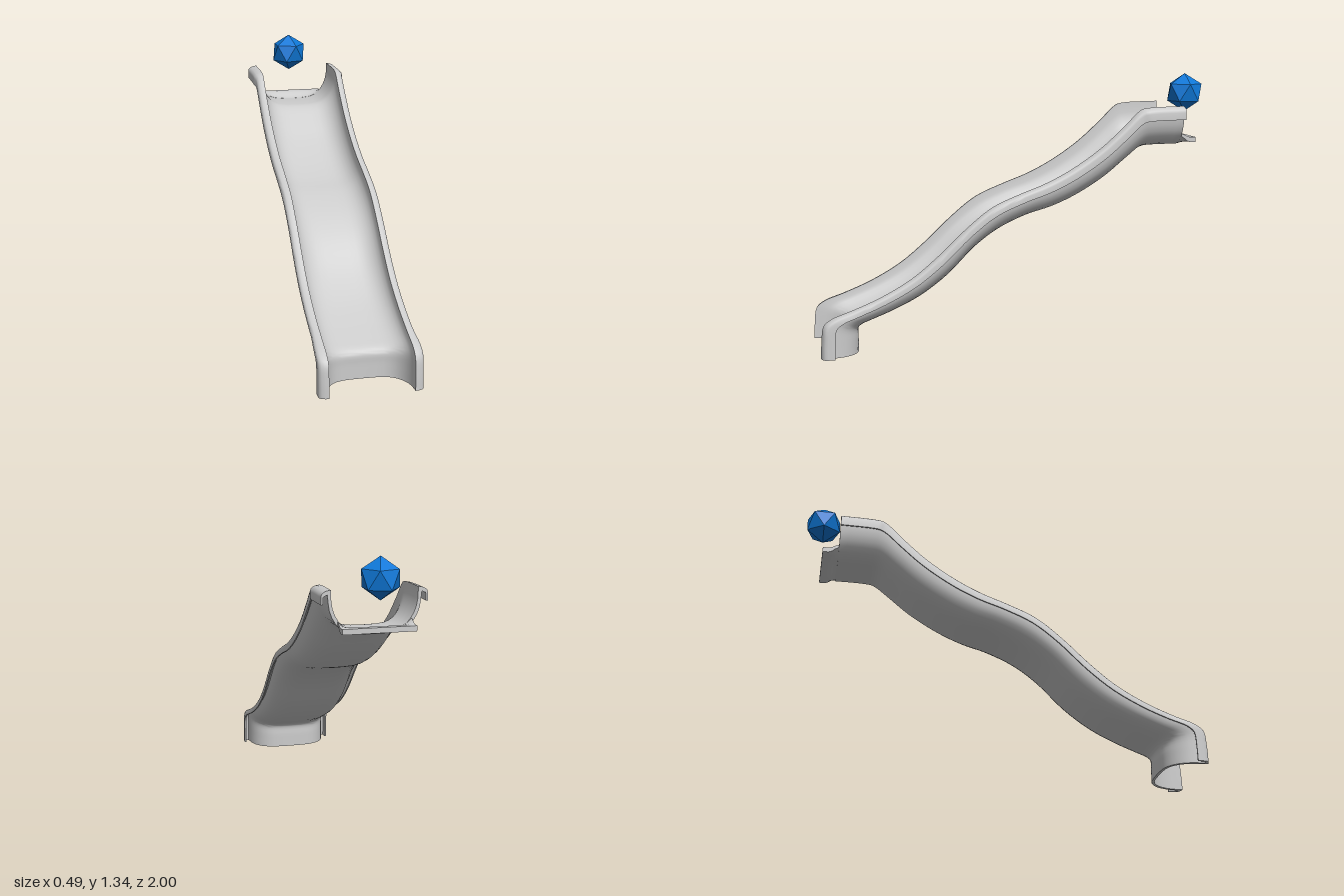
import * as THREE from 'three';
import { mergeVertices, toCreasedNormals } from 'three/addons/utils/BufferGeometryUtils.js';

// Skin a list of closed cross-sections; outline is the flat section used for the end caps
function loft(rows, outline) {
  const n = outline.length, last = (rows.length - 1) * n, index = [];
  for (let i = 0; i < rows.length - 1; i++) {
    for (let j = 0; j < n; j++) {
      const a = i * n + j, b = i * n + (j + 1) % n;
      index.push(a, b, a + n, b, b + n, a + n);
    }
  }
  for (const [a, b, c] of THREE.ShapeUtils.triangulateShape(outline, [])) {
    index.push(a, b, c, last + a, last + c, last + b);
  }
  const geometry = new THREE.BufferGeometry();
  geometry.setAttribute('position', new THREE.Float32BufferAttribute(rows.flat(2), 3));
  geometry.setIndex(index);
  return toCreasedNormals(mergeVertices(geometry, 1e-5), 0.75);
}

// Half section of the chute: [x, depth], depth 0 = rim top, 1 = underside of the floor
const HALF = [
  [0, 0.93], [0.06, 0.925], [0.1, 0.9], [0.125, 0.855], [0.147, 0.785], [0.165, 0.69],
  [0.18, 0.57], [0.192, 0.42], [0.198, 0.26], [0.2, 0],
  [0.217, 0.012], [0.232, 0.04], [0.242, 0.085], [0.245, 0.15], [0.245, 0.32],
  [0.237, 0.32], [0.234, 0.14], [0.216, 0.1], [0.212, 0.3], [0.207, 0.45],
  [0.196, 0.6], [0.18, 0.73], [0.158, 0.84], [0.13, 0.925], [0.1, 0.97], [0.06, 0.99], [0, 1],
];

// Stations from foot to top: rim z, rim y, floor z, floor y
const STATIONS = [
  [1, 0, 0.8, 0], [0.997, 0.08, 0.8, 0.07], [0.985, 0.16, 0.8, 0.118], [0.945, 0.193, 0.782, 0.138],
  [0.85, 0.228, 0.73, 0.16], [0.7, 0.29, 0.64, 0.195], [0.55, 0.375, 0.5, 0.262],
  [0.42, 0.48, 0.36, 0.362], [0.28, 0.61, 0.22, 0.5], [0.15, 0.71, 0.1, 0.585],
  [0, 0.775, -0.04, 0.648], [-0.12, 0.82, -0.17, 0.685], [-0.25, 0.885, -0.3, 0.74],
  [-0.4, 0.985, -0.45, 0.83], [-0.52, 1.09, -0.56, 0.918], [-0.61, 1.174, -0.64, 0.976],
  [-0.65, 1.184, -0.7, 0.984], [-0.835, 1.19, -0.835, 0.985],
];

function chuteGeometry() {
  const section = [...HALF, ...HALF.slice(1, -1).reverse().map(([x, d]) => [-x, d])];
  const rim = new THREE.CatmullRomCurve3(STATIONS.map(s => new THREE.Vector3(0, s[1], s[0])));
  const floor = new THREE.CatmullRomCurve3(STATIONS.map(s => new THREE.Vector3(0, s[3], s[2])));
  const steps = (STATIONS.length - 1) * 4, rows = [];
  for (let i = 0; i <= steps; i++) {
    const top = rim.getPoint(i / steps), bottom = floor.getPoint(i / steps);
    // the rim is slightly narrower along the run than at the two ends
    const narrow = THREE.MathUtils.smoothstep(top.z, -0.64, -0.6) *
      (1 - THREE.MathUtils.smoothstep(top.z, 0.8, 0.96));
    rows.push(section.map(([x, d]) => {
      const out = Math.max(Math.abs(x) - 0.2, 0) * 0.17 * narrow;
      const p = top.clone().lerp(bottom, d);
      return [x - Math.sign(x) * out, p.y, p.z];
    }));
  }
  return loft(rows, section.map(([x, d]) => new THREE.Vector2(x, -0.2 * d)));
}

// Mounting lip: leaves the trough curve and flattens out behind the top end
function lipGeometry() {
  const xs = [-0.17, -0.155, -0.135, -0.1, -0.05, 0, 0.05, 0.1, 0.135, 0.155, 0.17];
  const rows = [[-0.825, 0], [-0.84, 0.08], [-0.855, 0.4], [-0.87, 0.8], [-0.885, 1], [-0.915, 1]].map(([z, t]) => {
    const edge = (x, base, flat) =>
      [x, THREE.MathUtils.lerp(base + 0.05 * (Math.abs(x) / 0.17) ** 4, flat, t), z];
    return [...xs.map(x => edge(x, 1, 1.03)), ...xs.slice().reverse().map(x => edge(x, 0.986, 1.005))];
  });
  return loft(rows, rows[0].map(([x, y]) => new THREE.Vector2(x, y)));
}

export function createModel() {
  const group = new THREE.Group();
  group.name = 'slide';
  const grey = new THREE.MeshStandardMaterial({ color: 0xcccccc, side: THREE.DoubleSide });
  const blue = new THREE.MeshStandardMaterial({ color: 0x0f78d8, flatShading: true });
  const add = (name, geometry, material) => {
    const mesh = new THREE.Mesh(geometry, material);
    mesh.name = name;
    group.add(mesh);
    return mesh;
  };

  add('chute', chuteGeometry(), grey);
  add('mountingLip', lipGeometry(), grey);

  // Faceted marker standing on one corner above the top end
  const marker = new THREE.IcosahedronGeometry(0.0975, 0).rotateZ(-Math.atan(2 / (1 + Math.sqrt(5))));
  add('marker', marker, blue).position.set(0, 1.247, -0.914);

  return group;
}
